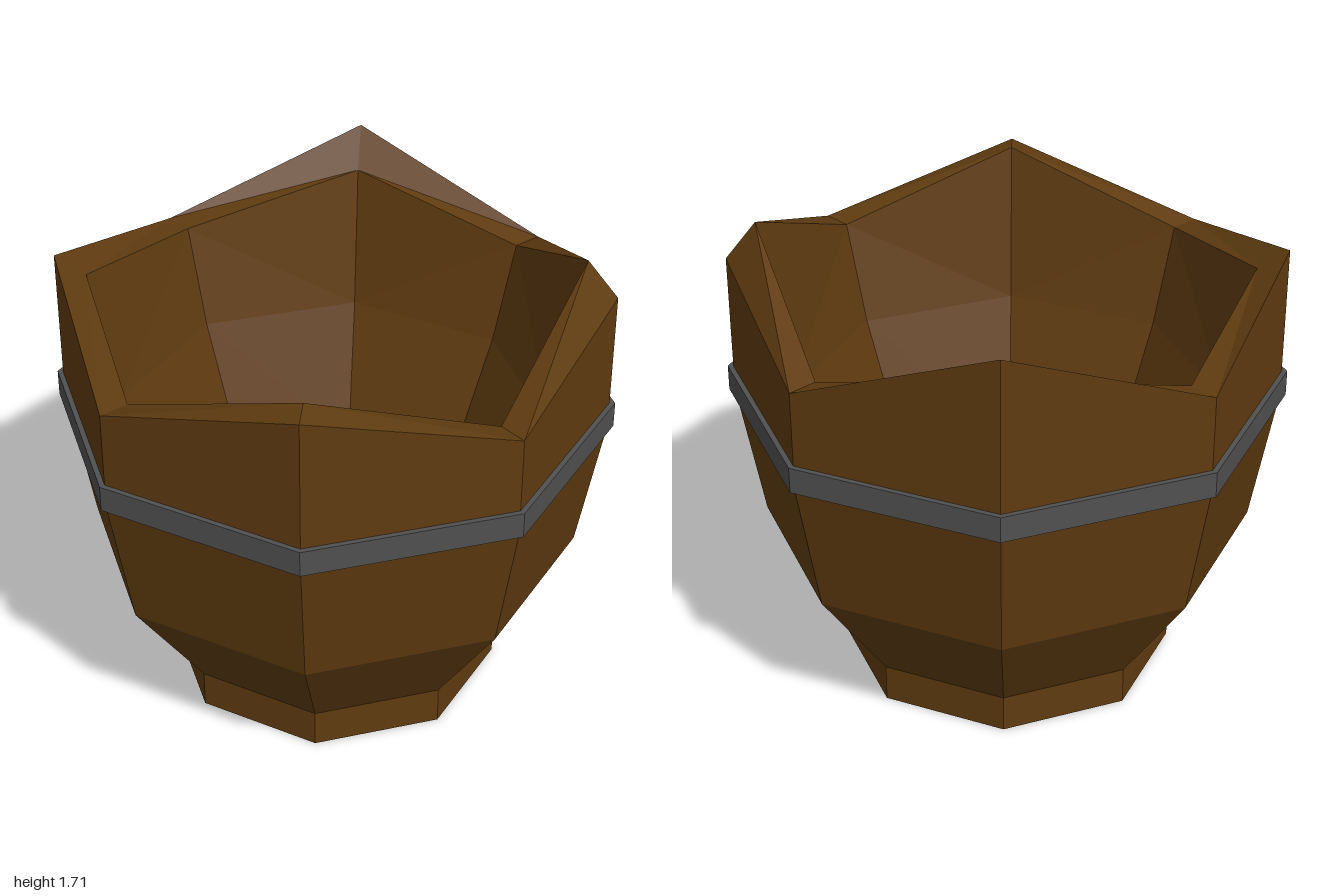
import * as THREE from 'three';

const SIDES = 8;

// Rim heights, anticlockwise from the front corner (+z towards +x)
const RIM_OUTER = [1.42, 1.57, 1.42, 1.705, 1.42, 1.62, 1.42, 1.62];
const RIM_INNER = [1.42, 1.71, 1.42, 1.57, 1.42, 1.55, 1.42, 1.63];

// Skin eight-sided rings [radius, height or heights]; radius 0 closes to a point
function skinRings(rings) {
  const corner = ([r, y], k) => {
    const i = k % SIDES, a = (i / SIDES) * Math.PI * 2;
    return [r * Math.sin(a), Array.isArray(y) ? y[i] : y, r * Math.cos(a)];
  };
  const pos = [];
  for (let j = 0; j < rings.length - 1; j++) {
    const low = rings[j], high = rings[j + 1];
    for (let k = 0; k < SIDES; k++) {
      const a = corner(low, k), b = corner(low, k + 1);
      const c = corner(high, k + 1), d = corner(high, k);
      if (low[0] === 0) pos.push(...a, ...c, ...d);
      else if (high[0] === 0) pos.push(...a, ...b, ...c);
      // alternate the diagonals so each raised corner is symmetric
      else if (k % 2 === 0) pos.push(...a, ...b, ...c, ...a, ...c, ...d);
      else pos.push(...a, ...b, ...d, ...b, ...c, ...d);
    }
  }
  const geo = new THREE.BufferGeometry();
  geo.setAttribute('position', new THREE.Float32BufferAttribute(pos, 3));
  geo.computeVertexNormals();
  return geo;
}

export function createModel() {
  const wood = new THREE.MeshStandardMaterial({ color: 0x5f3b10, flatShading: true });
  wood.name = 'brown wood';
  const iron = new THREE.MeshStandardMaterial({ color: 0x505050, flatShading: true });
  iron.name = 'dark iron';

  const group = new THREE.Group();
  group.name = 'brokenTub';
  const add = (name, rings, material) => {
    const mesh = new THREE.Mesh(skinRings(rings), material);
    mesh.name = name;
    group.add(mesh);
  };

  // Foot and outer wall
  add('outerWall', [
    [0, 0], [0.61, 0], [0.61, 0.14], [0.89, 0.55], [0.98, 1.05], [0.98, RIM_OUTER],
  ], wood);

  // Jagged broken rim
  add('rim', [[0.98, RIM_OUTER], [0.87, RIM_INNER]], wood);

  // Hollow inside and floor
  add('innerWall', [
    [0.87, RIM_INNER], [0.77, 1.05], [0.57, 0.55], [0.39, 0.14], [0, 0.14],
  ], wood);

  // Hoop around the wall
  add('hoop', [[0.97, 1.05], [1, 1.05], [1, 1.145], [0.97, 1.145]], iron);

  return group;
}
